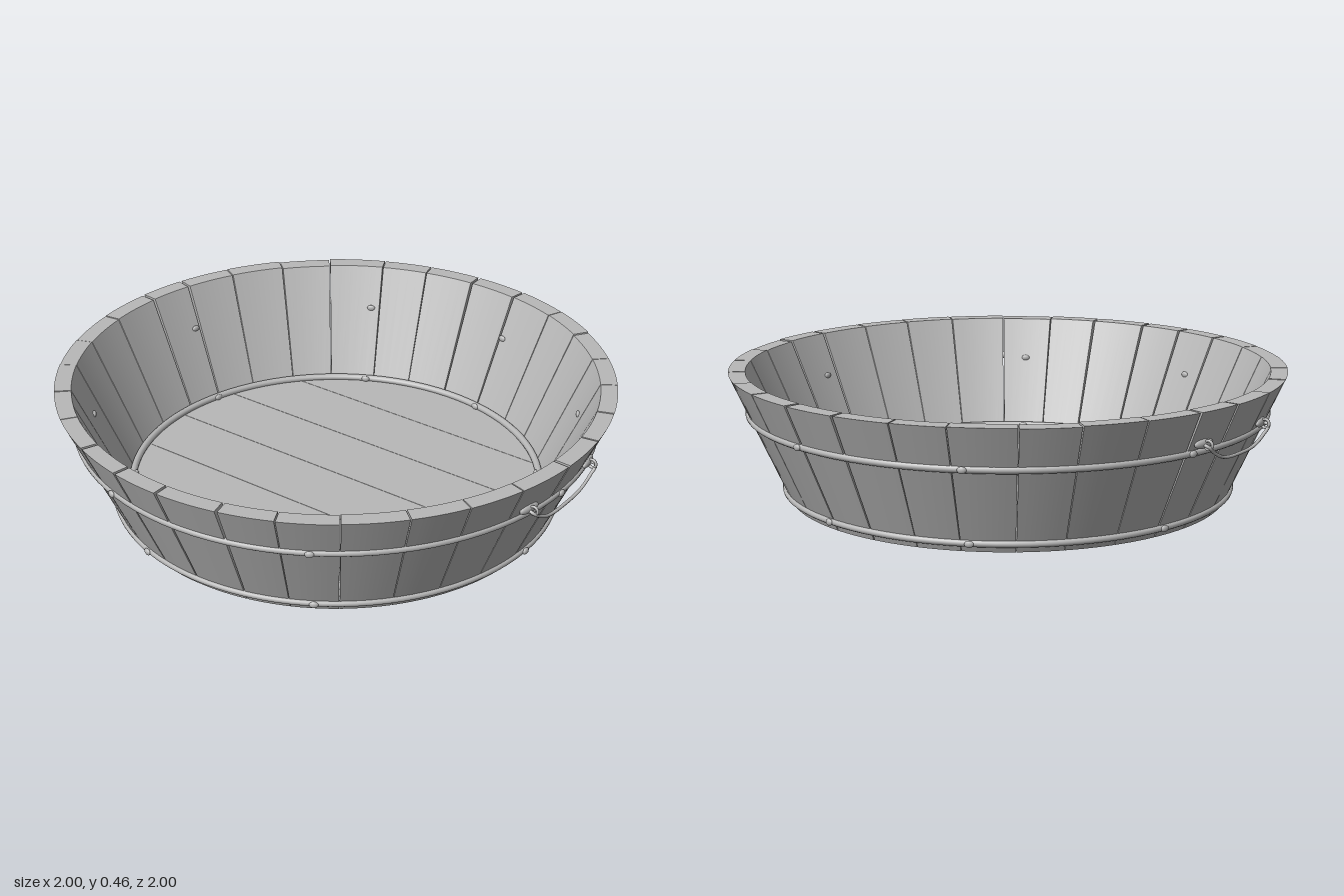
import * as THREE from 'three';

const H = 0.465;                                   // tub height
const outerR = y => 0.79 + 0.21 * y / H;           // flared outside wall
const innerR = y => 0.73 + 0.21 * y / H;           // flared inside wall
const rad = THREE.MathUtils.degToRad;

export function createModel() {
  const tub = new THREE.Group();
  tub.name = 'woodenTub';
  const grey = new THREE.MeshStandardMaterial({ color: 0xb8b8b8 });
  grey.name = 'plainGrey';

  let seed = 7;
  const rand = () => (seed = (seed * 16807) % 2147483647) / 2147483647;

  const add = (geometry, name, parent = tub) => {
    const mesh = new THREE.Mesh(geometry, grey);
    mesh.name = name;
    parent.add(mesh);
    return mesh;
  };

  // One curved stave: a box bent round the axis and flared upwards
  const stave = (mid, width, gapBottom, gapTop, top) => {
    const g = new THREE.BoxGeometry(1, 1, 1, 5, 1, 1);
    const p = g.attributes.position;
    for (let i = 0; i < p.count; i++) {
      const t = p.getY(i) + 0.5;
      const y = t * top;
      const a = mid + p.getX(i) * (width - THREE.MathUtils.lerp(gapBottom, gapTop, t));
      const r = p.getZ(i) > 0 ? outerR(y) : innerR(y);
      p.setXYZ(i, Math.sin(a) * r, y, Math.cos(a) * r);
    }
    g.computeVertexNormals();
    return g;
  };

  // Ring of staves; a few seams have opened up
  const staves = new THREE.Group();
  staves.name = 'staves';
  tub.add(staves);
  const count = 30;
  const edges = Array.from({ length: count }, (_, i) => rad(2 + i * 12 + (rand() - 0.5) * 1.6));
  edges.push(edges[0] + Math.PI * 2);
  for (let i = 0; i < count; i++) {
    const a = edges[i], b = edges[i + 1];
    const wide = i % 7 === 0;
    add(stave((a + b) / 2, b - a, rad(wide ? 0.5 : 0.15), rad(wide ? 0.9 : 0.25),
      H - rand() * 0.004), 'stave', staves);
  }

  // Floor of straight boards cut to a circle
  const floor = new THREE.Group();
  floor.name = 'floor';
  tub.add(floor);
  const R = 0.742, boards = 6;
  for (let i = 0; i < boards; i++) {
    const z0 = -R + i * 2 * R / boards + 0.0008;
    const z1 = -R + (i + 1) * 2 * R / boards - 0.0008;
    const right = [], left = [];
    for (let k = 0; k <= 12; k++) {
      const t = THREE.MathUtils.lerp(Math.asin(z0 / R), Math.asin(z1 / R), k / 12);
      right.push(new THREE.Vector2(R * Math.cos(t), R * Math.sin(t)));
      left.unshift(new THREE.Vector2(-R * Math.cos(t), R * Math.sin(t)));
    }
    const g = new THREE.ExtrudeGeometry(new THREE.Shape([...right, ...left]),
      { depth: 0.04, bevelEnabled: false });
    g.rotateX(-Math.PI / 2).translate(0, 0.015, 0);
    add(g, 'floorBoard', floor);
  }

  // Round hoops: two outside, one inside where the floor meets the wall
  const hoop = (r, y, tube, name) => {
    const g = new THREE.TorusGeometry(r, tube, 10, 96);
    g.rotateX(Math.PI / 2).translate(0, y, 0);
    add(g, name);
  };
  hoop(0.93, 0.313, 0.013, 'upperHoop');
  hoop(0.806, 0.033, 0.012, 'lowerHoop');
  hoop(0.744, 0.062, 0.013, 'innerHoop');

  // Rivets through the wall, seen inside and outside
  const rivets = new THREE.Group();
  rivets.name = 'rivets';
  tub.add(rivets);
  const rivet = (angle, r, y) => {
    const m = add(new THREE.SphereGeometry(0.016, 12, 8), 'rivet', rivets);
    m.scale.set(1, 0.75, 0.5);
    m.position.set(Math.sin(angle) * r, y, Math.cos(angle) * r);
    m.rotation.y = angle;
  };
  for (const deg of [90, 31.6, -16, -52, -104, -152.5, 169, 125.5]) {
    const a = rad(deg);
    rivet(a, 0.943, 0.313);
    rivet(a, innerR(0.313), 0.313);
    rivet(a, 0.818, 0.033);
    rivet(a, 0.732, 0.064);
  }

  // A hanging wire handle with two eye mounts on each side
  for (const side of [1, -1]) {
    const handle = new THREE.Group();
    handle.name = side > 0 ? 'leftHandle' : 'rightHandle';
    handle.rotation.y = side > 0 ? 0 : Math.PI;
    const pts = [[0.94, 0.34, 0.2], [0.957, 0.335, 0.2], [0.957, 0.31, 0.165], [0.957, 0.283, 0.1],
      [0.957, 0.276, 0], [0.957, 0.283, -0.1], [0.957, 0.31, -0.165], [0.957, 0.335, -0.2], [0.94, 0.34, -0.2]];
    const curve = new THREE.CatmullRomCurve3(pts.map(q => new THREE.Vector3(...q)));
    add(new THREE.TubeGeometry(curve, 48, 0.006, 8), 'handleWire', handle);
    for (const z of [0.19, -0.19]) {
      const plate = add(new THREE.SphereGeometry(1, 20, 12), 'mountPlate', handle);
      plate.scale.set(0.012, 0.017, 0.044);
      plate.position.set(0.93, 0.343, z);
      plate.rotation.y = -Math.sign(z) * 0.2;
      const eye = add(new THREE.TorusGeometry(0.015, 0.005, 8, 20), 'mountEye', handle);
      eye.position.set(0.948, 0.34, z);
    }
    tub.add(handle);
  }

  return tub;
}
